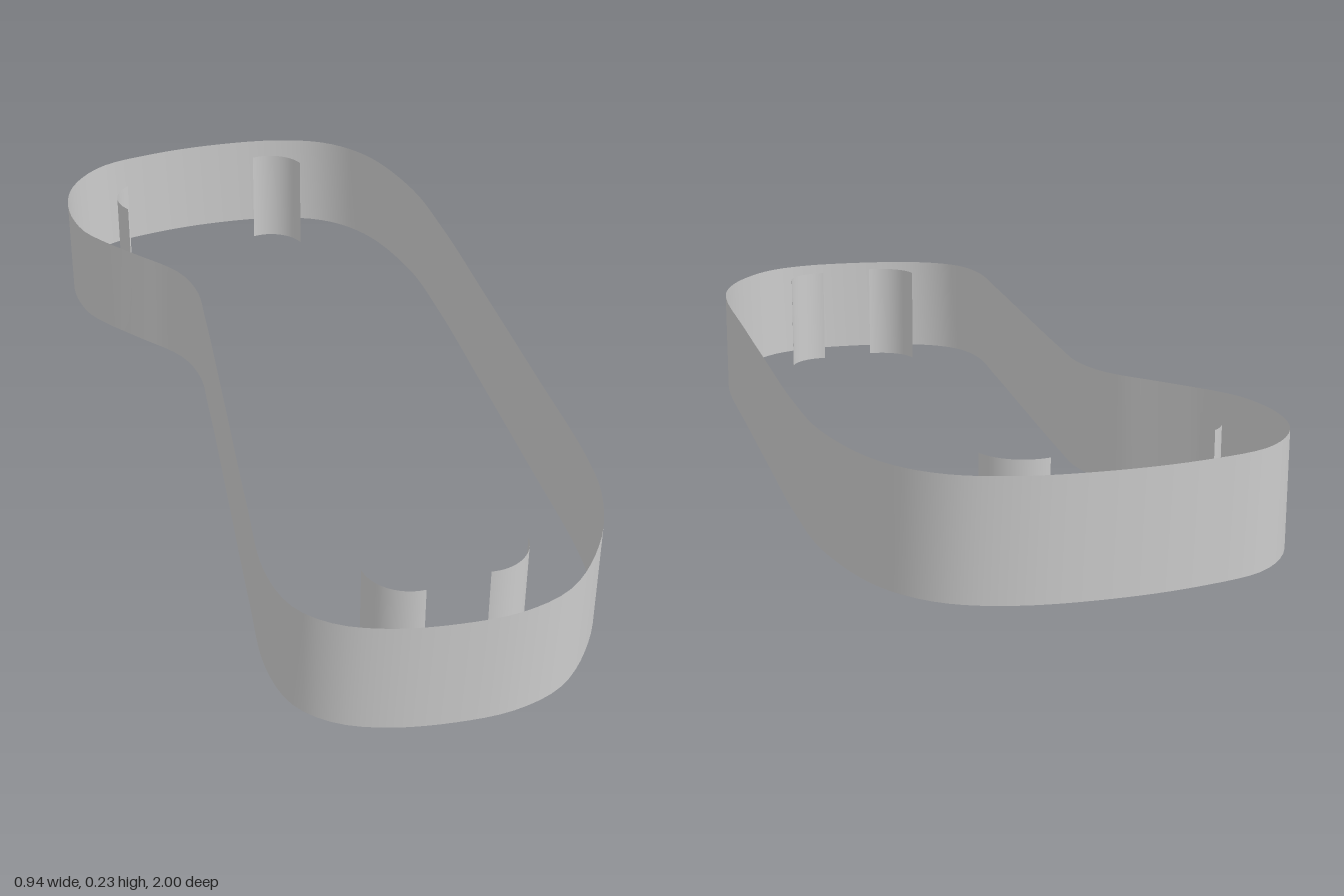
import * as THREE from 'three';

const HEIGHT = 0.23;
const material = new THREE.MeshStandardMaterial({ color: 0xcccccc, side: THREE.DoubleSide });

// Upright sheet standing on a closed plan curve, seams shared for smooth normals
function closedWall(curve, segments) {
  const positions = [], index = [];
  for (let i = 0; i < segments; i++) {
    const p = curve.getPointAt(i / segments);
    positions.push(p.x, 0, p.z, p.x, HEIGHT, p.z);
    const a = 2 * i, b = 2 * ((i + 1) % segments);
    index.push(a, b, b + 1, a, b + 1, a + 1);
  }
  const geometry = new THREE.BufferGeometry();
  geometry.setAttribute('position', new THREE.Float32BufferAttribute(positions, 3));
  geometry.setIndex(index);
  geometry.computeVertexNormals();
  return geometry;
}

export function createModel() {
  const group = new THREE.Group();

  // Outer wall: plan outline as x, z, running from the front round the +x side
  const outline = [
    [0.11, 1.0], [0.23, 0.985], [0.33, 0.935], [0.42, 0.81], [0.463, 0.68], [0.472, 0.56],
    [0.455, 0.24], [0.435, -0.1], [0.414, -0.43], [0.385, -0.66], [0.31, -0.865],
    [0.22, -0.957], [0.1, -0.995], [-0.07, -0.995], [-0.24, -0.965], [-0.375, -0.912],
    [-0.453, -0.81], [-0.472, -0.69], [-0.445, -0.57], [-0.405, -0.51], [-0.333, -0.43],
    [-0.24, -0.325], [-0.207, -0.23], [-0.203, -0.1], [-0.205, 0.25], [-0.208, 0.6],
    [-0.205, 0.8], [-0.172, 0.905], [-0.11, 0.962], [-0.02, 0.992],
  ].map(([x, z]) => new THREE.Vector3(x, 0, z));
  const curve = new THREE.CatmullRomCurve3(outline, true, 'centripetal');
  curve.arcLengthDivisions = 600;
  const wall = new THREE.Mesh(closedWall(curve, 180), material);
  wall.name = 'outerWall';
  group.add(wall);

  // Quarter-round ribs inside the wall: centre x, z and outward direction x, z
  const radius = 0.09;
  const ribs = [
    ['frontLeftRib', 0.2, 0.779, 0.69, 0.73],
    ['frontRightRib', 0.056, 0.811, -0.577, 0.817],
    ['backRightRib', -0.259, -0.72, -0.997, -0.076],
    ['backLeftRib', 0.049, -0.816, 0.41, -0.91],
  ];
  for (const [name, x, z, dx, dz] of ribs) {
    const start = Math.atan2(dx, dz) - Math.PI / 4;
    const rib = new THREE.Mesh(
      new THREE.CylinderGeometry(radius, radius, HEIGHT, 16, 1, true, start, Math.PI / 2), material);
    rib.position.set(x, HEIGHT / 2, z);
    rib.name = name;
    group.add(rib);
  }
  return group;
}
